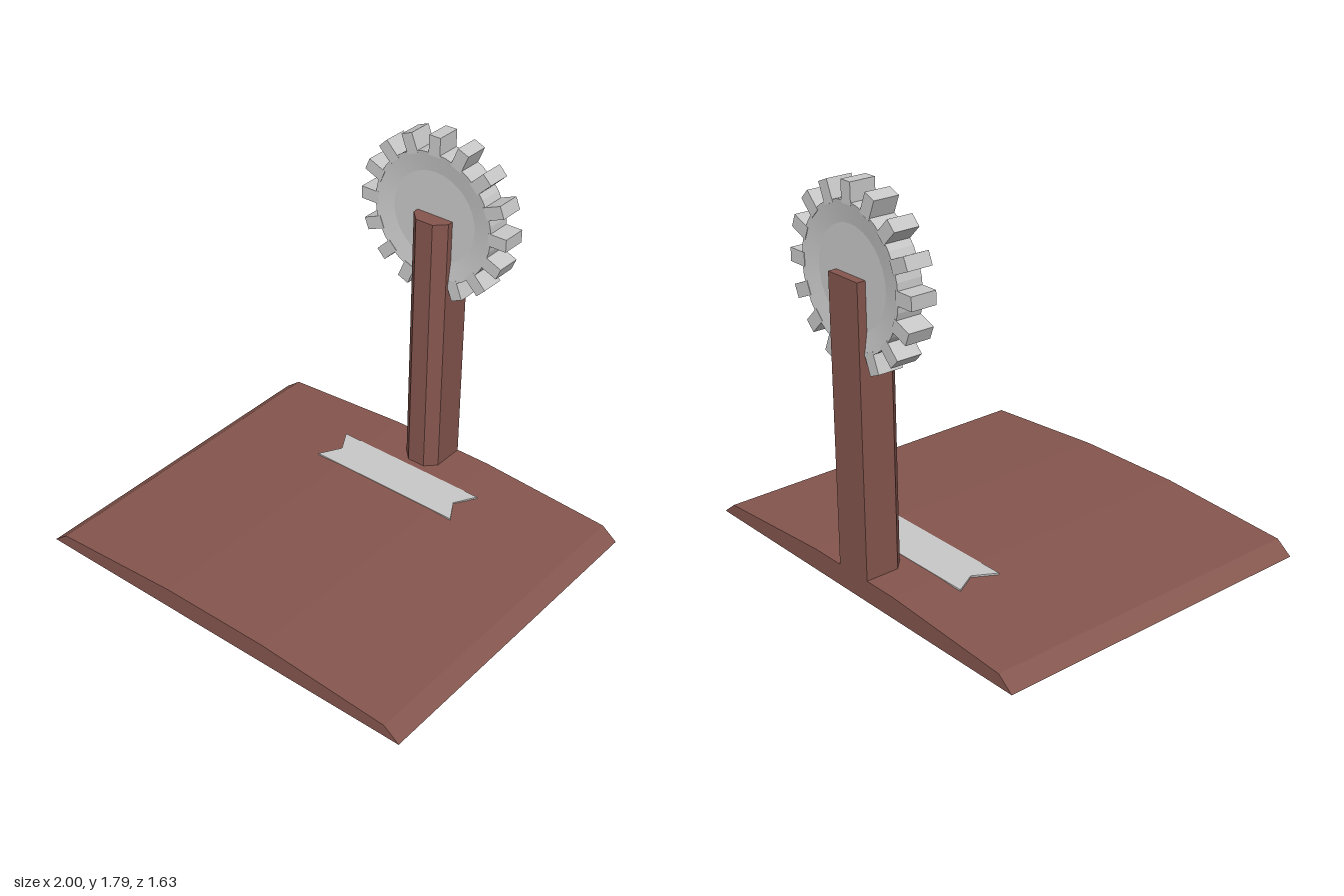
import * as THREE from 'three';
import { toCreasedNormals } from 'three/addons/utils/BufferGeometryUtils.js';

const brown = new THREE.MeshStandardMaterial({ color: 0x85564e });
brown.name = 'reddish brown';
const grey = new THREE.MeshStandardMaterial({ color: 0xc8c8c8 });
grey.name = 'light grey';

function prism(name, points, depth, material) {
  const shape = new THREE.Shape(points.map(([x, y]) => new THREE.Vector2(x, y)));
  const geometry = new THREE.ExtrudeGeometry(shape, { depth, bevelEnabled: false });
  const mesh = new THREE.Mesh(geometry, material);
  mesh.name = name;
  return mesh;
}

export function createModel() {
  const model = new THREE.Group();
  model.name = 'gearTrophy';

  // Base: low, faceted hump running front to back
  const base = prism('base', [
    [-1, 0], [1, 0], [0.925, 0.058], [0.27, 0.1], [-0.27, 0.1], [-0.925, 0.058],
  ], 1.63, brown);
  base.position.z = -0.815;
  model.add(base);

  // Post: plan outline (x, -z) with chamfered front corners, stood upright
  const post = prism('post', [
    [-0.095, 0.815], [-0.095, 0.655], [-0.045, 0.605],
    [0.045, 0.605], [0.095, 0.655], [0.095, 0.815],
  ], 1.32, brown);
  post.rotation.x = -Math.PI / 2;
  post.position.y = 0.09;
  model.add(post);

  // Name plate: thin ribbon with notched ends
  const plate = prism('ribbonPlate', [
    [-0.395, 0.36], [0.395, 0.36], [0.335, 0.465],
    [0.395, 0.57], [-0.395, 0.57], [-0.335, 0.465],
  ], 0.008, grey);
  plate.rotation.x = -Math.PI / 2;
  plate.position.set(-0.01, 0.094, 0);
  model.add(plate);

  // Gear: disc dished on both faces, with square teeth
  const gear = new THREE.Group();
  gear.name = 'gear';
  gear.position.set(-0.006, 1.4, -0.73);
  const half = 0.06, dish = 0.045, root = 0.315, tip = 0.395;
  const profile = [
    [0, -dish], [0.22, -dish], [root, -half], [root, half], [0.22, dish], [0, dish],
  ].map(([r, y]) => new THREE.Vector2(r, y));
  const disc = new THREE.Mesh(toCreasedNormals(new THREE.LatheGeometry(profile, 32), 0.1), grey);
  disc.name = 'gearDisc';
  disc.rotation.x = Math.PI / 2;
  gear.add(disc);

  const toothGeometry = new THREE.BoxGeometry(tip - 0.3, 0.06, half * 2);
  toothGeometry.translate((tip + 0.3) / 2, 0, 0);
  for (let i = 0; i < 16; i++) {
    const tooth = new THREE.Mesh(toothGeometry, grey);
    tooth.name = 'gearTooth';
    tooth.rotation.z = (i * Math.PI) / 8;
    gear.add(tooth);
  }
  model.add(gear);

  return model;
}
